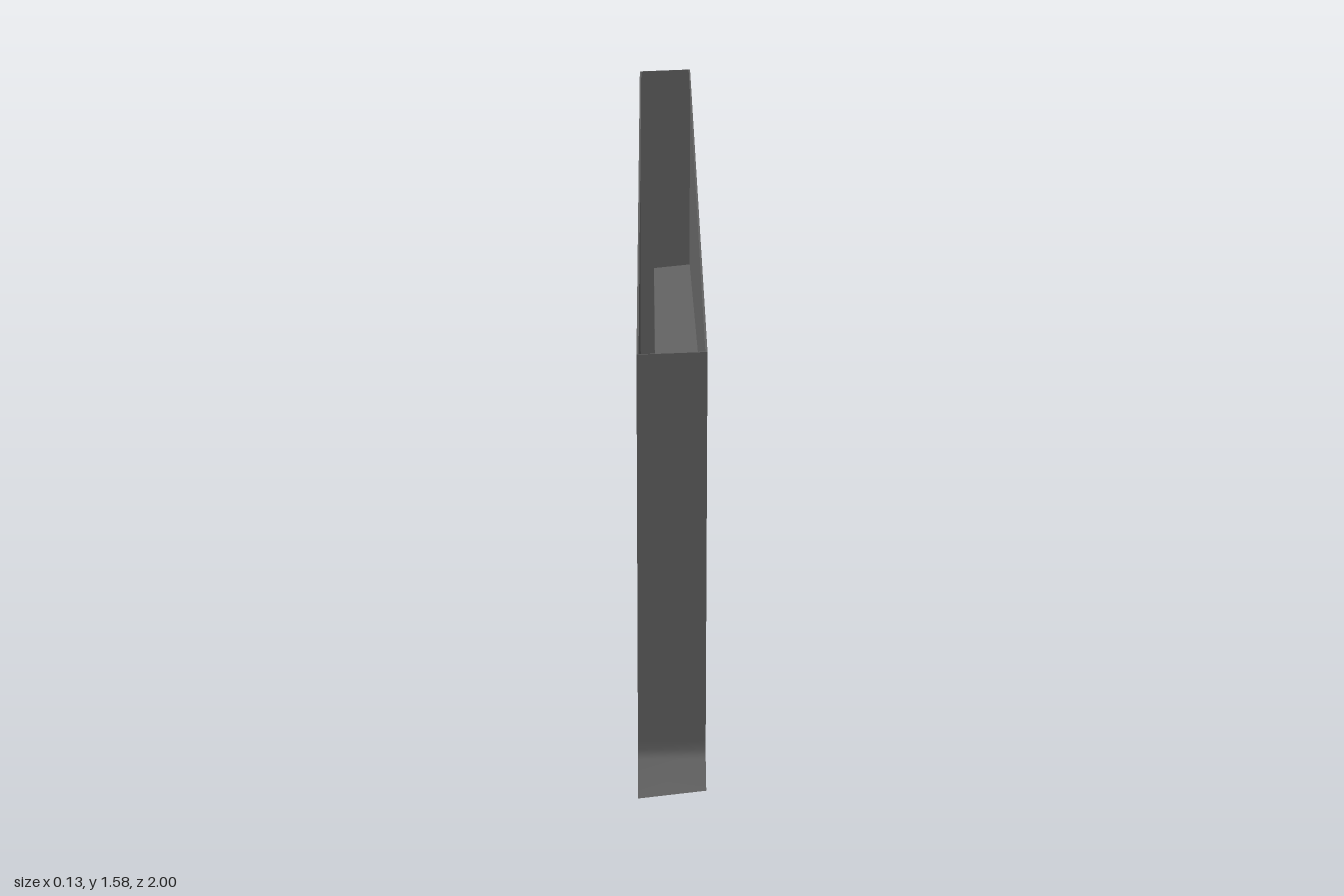
import * as THREE from 'three';
import { toCreasedNormals } from 'three/addons/utils/BufferGeometryUtils.js';

const LEFT = 0.067, RIGHT = -0.067, RECESS_X = -0.03, WALL = 0.004;

export function createModel() {
  const group = new THREE.Group();
  const material = new THREE.MeshStandardMaterial({ color: 0x626262, side: THREE.DoubleSide });

  const add = (name, geometry) => {
    const mesh = new THREE.Mesh(geometry, material);
    mesh.name = name;
    group.add(mesh);
  };

  // Flat panel from [z, y] points; facing is +1 or -1 along x
  const panel = (points, x, facing, hole) => {
    const to2D = (list) => list.map(([z, y]) => new THREE.Vector2(-facing * z, y));
    const shape = new THREE.Shape(to2D(points));
    if (hole) shape.holes.push(new THREE.Path(to2D(hole)));
    return new THREE.ShapeGeometry(shape).rotateY(facing * Math.PI / 2).translate(x, 0, 0);
  };

  // Place a [z, y] path at a given x
  const at = (x, path) => path.map(([z, y]) => [x, y, z]);

  // Ruled strip between two matching [x, y, z] paths
  const strip = (pathA, pathB) => {
    const positions = [], index = [];
    pathA.forEach((point, i) => {
      positions.push(...point, ...pathB[i]);
      if (i > 0) {
        const a = 2 * i - 2;
        index.push(a, a + 1, a + 3, a, a + 3, a + 2);
      }
    });
    const geometry = new THREE.BufferGeometry();
    geometry.setAttribute('position', new THREE.Float32BufferAttribute(positions, 3));
    geometry.setIndex(index);
    geometry.computeVertexNormals();
    return toCreasedNormals(geometry, 0.5);
  };

  // Front edges run upwards: flared lip, small fillet, upright wall
  const upright = (top) => [[0.927, 0.428], [0.921, 0.435], [0.918, 0.445], [0.918, 0.465], [0.918, top]];
  const frontRight = [[1, 0.377], ...upright(1.247)];
  const frontLeft = [[0.984, 0.386], ...upright(1.252)];
  const backRight = [[-1, 1.578], [-1, 0]];
  const backLeft = [[-1, 1.583], [-1, 0.013]];

  // Slot mouth and its slightly drafted inner end
  const slot = (zFront, zBack, top) => [[zFront, 0.99], [zBack, 0.99], [zBack, top], [zFront, top]];
  const mouth = slot(0.897, -0.978, 1.06);
  const inner = slot(0.891, -0.973, 1.051);

  // Hollow shell, open above and below
  add('rightPanel', panel([...frontRight, ...backRight], RIGHT, -1));
  add('leftPanel', panel([...frontLeft, ...backLeft], LEFT, 1, mouth));
  add('frontWallWithLip', strip(at(RIGHT, frontRight), at(LEFT, frontLeft)));
  add('backWall', strip(at(RIGHT, backRight), at(LEFT, backLeft)));

  // Narrow rims showing the wall thickness at both openings
  const rimLoop = (end, backEnd) => {
    const left = at(LEFT, [frontLeft.at(end), backLeft.at(backEnd)]);
    const right = at(RIGHT, [backRight.at(backEnd), frontRight.at(end)]);
    return [...left, ...right, left[0]];
  };
  const inset = (loop) => loop.map(([x, y, z]) => [x - Math.sign(x) * WALL, y, z - Math.sign(z) * WALL]);
  const topLoop = rimLoop(-1, 0), bottomLoop = rimLoop(0, -1);
  add('topRim', strip(inset(topLoop), topLoop));
  add('bottomRim', strip(bottomLoop, inset(bottomLoop)));

  // Long recessed slot
  add('slotWalls', strip(at(RECESS_X, [...inner, inner[0]]), at(LEFT, [...mouth, mouth[0]])));
  add('slotBack', panel(inner, RECESS_X, 1));

  return group;
}
